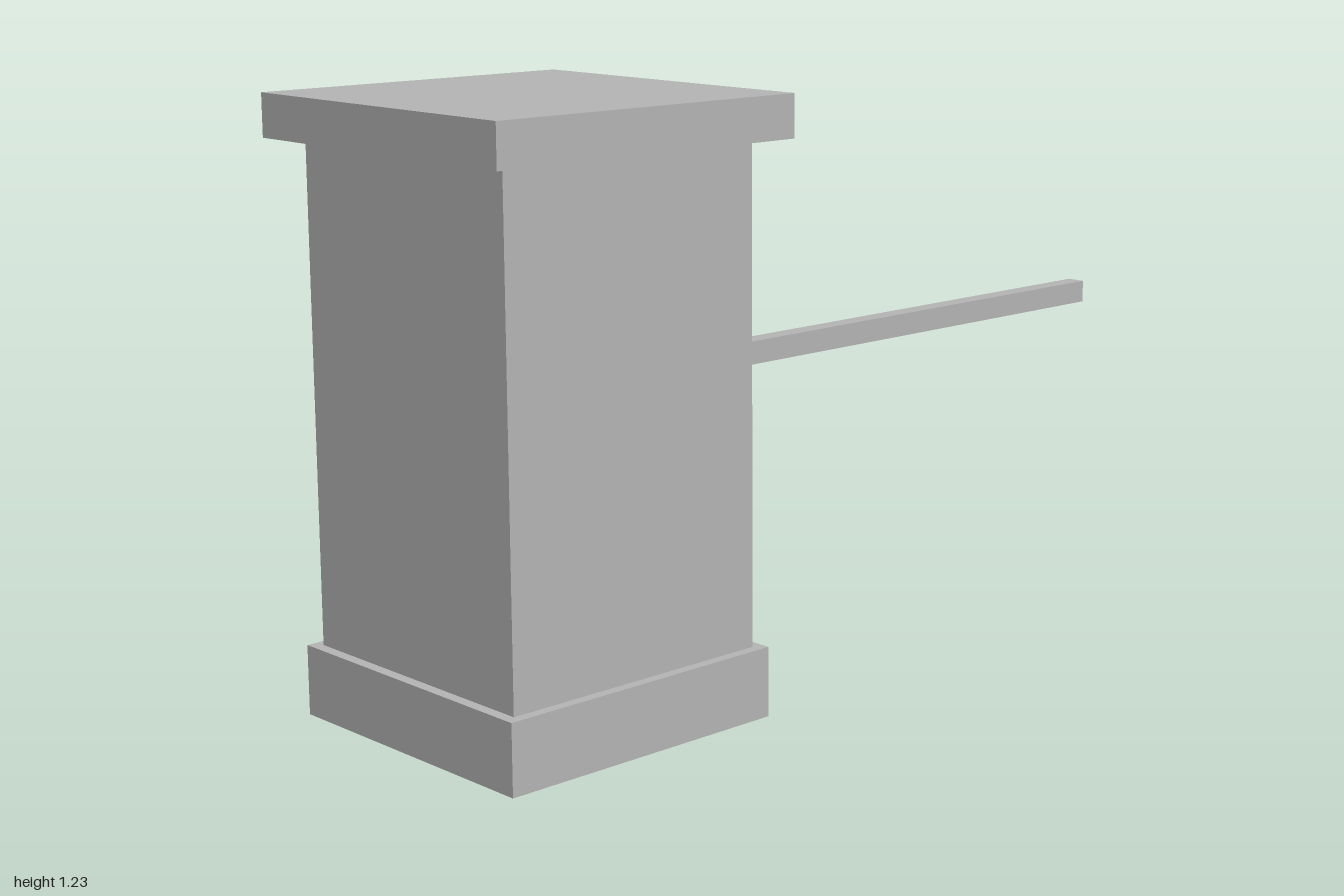
import * as THREE from 'three';

const concreteGrey = new THREE.MeshStandardMaterial({ color: 0xb2b2b2, side: THREE.DoubleSide });
concreteGrey.name = 'concreteGrey';

// Box with an open underside, given by its limits on each axis
function openBox(name, [x0, x1], [y0, y1], [z0, z1]) {
  const geometry = new THREE.BoxGeometry(x1 - x0, y1 - y0, z1 - z0);
  const index = Array.from(geometry.index.array);
  index.splice(18, 6); // drop the bottom face
  geometry.setIndex(index);
  geometry.clearGroups();
  const mesh = new THREE.Mesh(geometry, concreteGrey);
  mesh.name = name;
  mesh.position.set((x0 + x1) / 2, (y0 + y1) / 2, (z0 + z1) / 2);
  return mesh;
}

export function createModel() {
  const model = new THREE.Group();
  model.name = 'barrierGate';

  // Guard booth: plinth, walls and overhanging roof
  const booth = new THREE.Group();
  booth.name = 'booth';
  booth.add(
    openBox('boothBase', [-0.966, -0.323], [0, 0.143], [-0.321, 0.321]),
    openBox('boothWalls', [-0.943, -0.345], [0.143, 1.145], [-0.299, 0.299]),
    openBox('boothRoof', [-1, -0.288], [1.145, 1.231], [-0.356, 0.356]),
  );
  model.add(booth);

  // Post that carries the barrier
  model.add(openBox('barrierPost', [-0.345, -0.202], [0, 0.68], [-0.07, 0.07]));

  // Barrier arm, a row of equal hollow sections
  const arm = new THREE.Group();
  arm.name = 'barrierArm';
  const sections = 6, start = -0.202, step = (1 - start) / sections;
  for (let i = 0; i < sections; i++) {
    const x = start + i * step;
    arm.add(openBox('armSection' + (i + 1), [x, x + step], [0.631, 0.68], [-0.021, 0.021]));
  }
  model.add(arm);

  return model;
}
